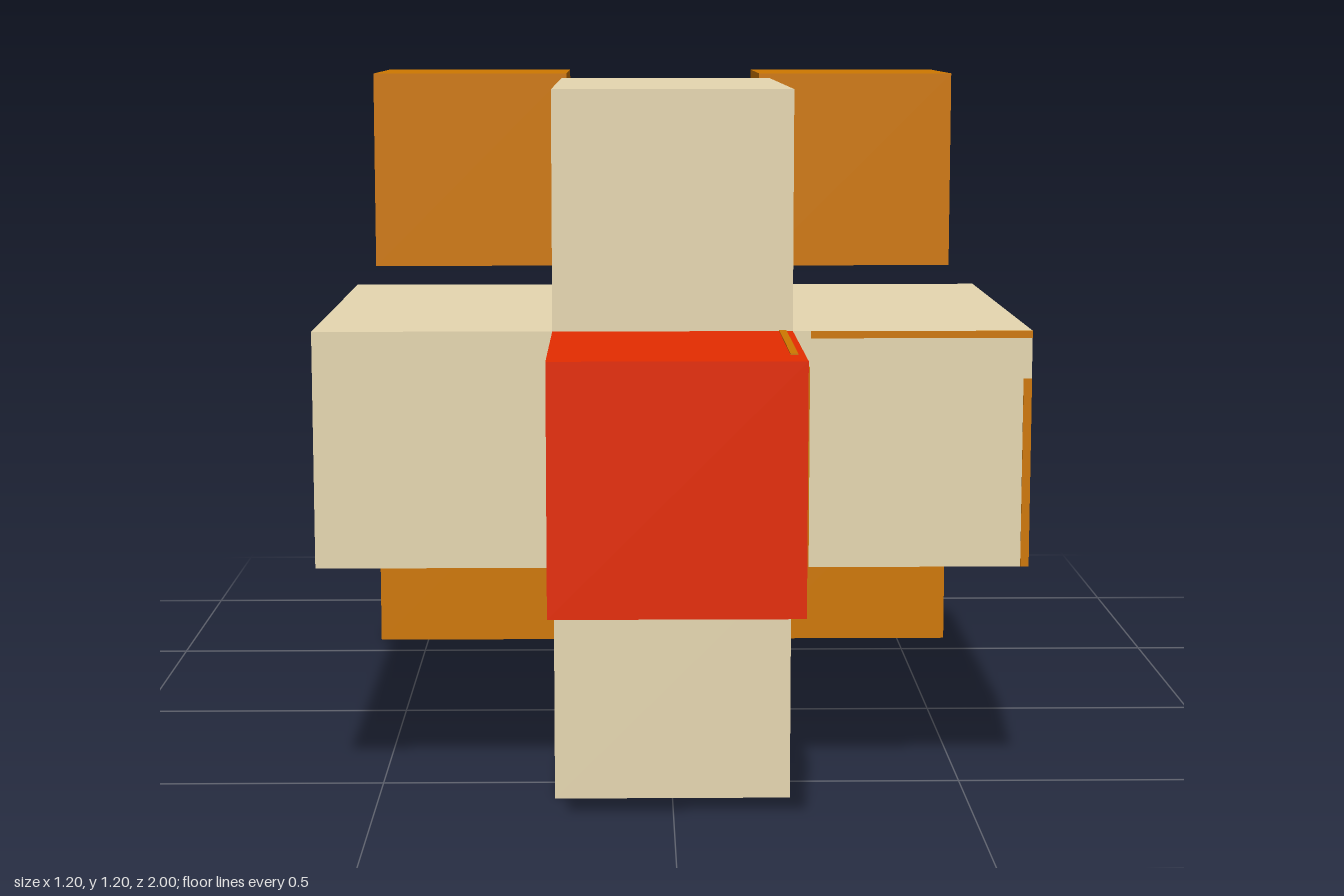
import * as THREE from 'three';

function material(name, color) {
  const m = new THREE.MeshStandardMaterial({ color });
  m.name = name;
  return m;
}

export function createModel() {
  const beige = material('beige', 0xe7d8b1);
  const orange = material('orange', 0xcf7800);
  const red = material('red', 0xe62c00);
  const brown = material('brown', 0x6d3f00);
  const black = material('black', 0x000000);

  const model = new THREE.Group();
  model.name = 'blockCraft';
  const unit = 0.4; // edge of one cube
  const midY = 0.6;
  const thin = 0.004; // thickness of painted plates

  function box(name, mat, [w, h, d], [x, y, z]) {
    const mesh = new THREE.Mesh(new THREE.BoxGeometry(w, h, d), mat);
    mesh.name = name;
    mesh.position.set(x, y, z);
    model.add(mesh);
  }
  const cube = [unit, unit, unit];
  const beam = [unit, unit, 2 * unit];

  // Red nose cube at the front
  box('nose', red, cube, [0, midY, 0.8]);

  // Four long hull blocks in a cross around the axis
  box('hullTop', beige, beam, [0, midY + unit, 0.2]);
  box('hullBottom', beige, beam, [0, midY - unit, 0.2]);
  box('hullLeft', beige, beam, [unit, midY, 0.2]);
  box('hullRight', beige, beam, [-unit, midY, 0.2]);

  // Brown engine cube with a black panel set inside a narrow brown rim
  box('engine', brown, cube, [0, midY, -0.4]);
  box('enginePanel', black, [0.376, 0.376, thin], [0, midY, -0.6]);

  // Four orange cubes at the rear corners
  for (const [side, sx] of [['Left', 1], ['Right', -1]]) {
    for (const [level, sy] of [['Upper', 1], ['Lower', -1]]) {
      box(`rearCube${level}${side}`, orange, cube, [sx * unit, midY + sy * unit, -0.8]);
    }
  }

  // Narrow orange trim lines on the hull ends and the nose
  box('hullLeftTopTrim', orange, [0.37, 0.012, thin], [0.415, 0.794, 0.6]);
  box('hullLeftSideTrim', orange, [0.014, 0.32, thin], [0.593, 0.56, 0.6]);
  box('hullRightSideTrim', orange, [0.014, 0.32, thin], [-0.593, 0.56, -0.2]);
  box('noseSideTrim', orange, [thin, 0.38, 0.014], [0.2, midY, 0.992]);
  box('noseTopTrim', orange, [0.012, thin, 0.32], [0.183, 0.8, 0.76]);
  return model;
}
